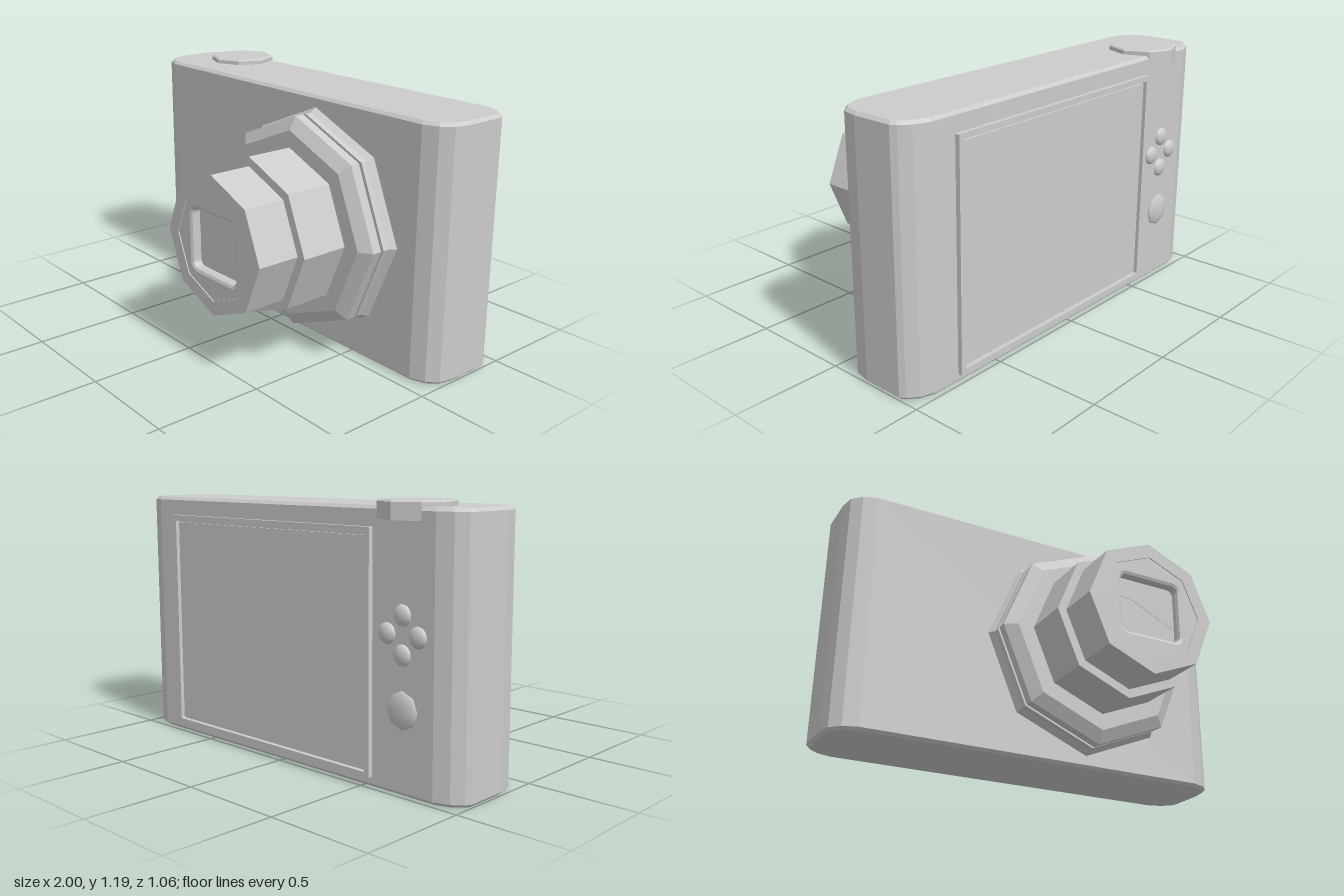
import * as THREE from 'three';

const flat = new THREE.MeshStandardMaterial({ color: 0xcccccc, flatShading: true });
const smooth = new THREE.MeshStandardMaterial({ color: 0xcccccc });

function add(parent, name, geometry, x = 0, y = 0, z = 0, material = flat) {
  const mesh = new THREE.Mesh(geometry, material);
  mesh.name = name;
  mesh.position.set(x, y, z);
  parent.add(mesh);
  return mesh;
}

const points = (list) => list.map(([x, y]) => new THREE.Vector2(x, y));

// Rectangle centred on the origin, with optional rounded corners
function roundedRect(PathType, w, h, r) {
  const path = new PathType();
  const cx = w / 2 - r, cy = h / 2 - r;
  path.moveTo(w / 2, -cy);
  path.absarc(cx, cy, r, 0, Math.PI / 2);
  path.absarc(-cx, cy, r, Math.PI / 2, Math.PI);
  path.absarc(-cx, -cy, r, Math.PI, Math.PI * 1.5);
  path.absarc(cx, -cy, r, Math.PI * 1.5, Math.PI * 2);
  path.closePath();
  return path;
}

// Body: rounded plan outline extruded upward, with chamfered top and bottom
function buildBody(parent) {
  const half = [
    [0.87, -0.06], [0.94, -0.085], [0.985, -0.13], [1, -0.205],
    [1, -0.4], [0.985, -0.425], [0.94, -0.462], [0.87, -0.485],
  ];
  const mirrored = half.map(([x, z]) => [-x, z]).reverse();
  const plan = new THREE.Shape(points([...half, ...mirrored].map(([x, z]) => [x, -z])));
  const b = 0.014;
  const geometry = new THREE.ExtrudeGeometry(plan, {
    depth: 1.165 - 2 * b, bevelThickness: b, bevelSize: b, bevelOffset: -b, bevelSegments: 1,
  });
  geometry.rotateX(-Math.PI / 2);
  add(parent, 'body', geometry, 0, b, 0);
}

// Lens: eight-sided mount ring and two telescoping barrels
function buildLens(parent) {
  const lens = new THREE.Group();
  lens.name = 'lens';
  lens.position.set(0.24, 0.585, 0);
  parent.add(lens);

  const lathe = (profile) => new THREE.LatheGeometry(points(profile), 8).rotateX(Math.PI / 2);
  add(lens, 'mountRing', lathe([
    [0.53, -0.065], [0.505, -0.03], [0.505, 0], [0.487, 0], [0.487, 0.015],
    [0.505, 0.015], [0.505, 0.06], [0.445, 0.095], [0.34, 0.095],
  ]));
  add(lens, 'outerBarrel', lathe([[0.366, 0.09], [0.366, 0.325], [0.3, 0.325]]));
  add(lens, 'innerBarrel', lathe([
    [0.323, 0.32], [0.323, 0.53], [0.255, 0.53], [0.255, 0.48],
  ]));

  // Recessed front plate with a bevelled square window
  const octagon = Array.from({ length: 8 }, (_, i) => {
    const a = (i * Math.PI) / 4;
    return [0.26 * Math.cos(a), 0.26 * Math.sin(a)];
  });
  const plate = new THREE.Shape(points(octagon));
  plate.holes.push(roundedRect(THREE.Path, 0.335, 0.31, 0.045));
  add(lens, 'windowPlate', new THREE.ExtrudeGeometry(plate, {
    depth: 0.02, bevelThickness: 0.02, bevelSize: 0.018, bevelSegments: 2, curveSegments: 4,
  }), 0, 0, 0.485);

  // Two overlapping shutter blades closing the window
  add(lens, 'lowerBlade', new THREE.BoxGeometry(0.34, 0.32, 0.01), 0, 0, 0.475);
  const blade = new THREE.Shape(points([
    [-0.17, 0.04], [-0.11, 0.045], [-0.06, 0.035], [0.11, -0.045], [0.17, -0.07],
    [0.17, 0.16], [-0.17, 0.16],
  ]));
  add(lens, 'upperBlade', new THREE.ExtrudeGeometry(blade, { depth: 0.002, bevelEnabled: false }), 0, 0, 0.48);
}

// Rear screen: raised frame with the display set inside it
function buildScreen(parent) {
  const w = 1.295, h = 1.04, cx = 0.0975, cy = 0.56;
  const frame = roundedRect(THREE.Shape, w, h, 0.005);
  frame.holes.push(roundedRect(THREE.Path, w - 0.05, h - 0.05, 0.005));
  add(parent, 'screenFrame', new THREE.ExtrudeGeometry(frame, {
    depth: 0.027, bevelEnabled: false, curveSegments: 2,
  }), cx, cy, -0.507);
  add(parent, 'screen', new THREE.BoxGeometry(w - 0.07, h - 0.07, 0.02), cx, cy, -0.486);
}

// Rear buttons: four-way pad and one larger button
function buildButtons(parent) {
  const pad = new THREE.Group();
  pad.name = 'directionPad';
  pad.position.set(-0.71, 0.66, -0.483);
  parent.add(pad);
  for (let i = 0; i < 4; i++) {
    const a = (i * Math.PI) / 2;
    const button = add(pad, 'directionButton', new THREE.SphereGeometry(0.045, 16, 10),
      0.08 * Math.cos(a), 0.08 * Math.sin(a), 0, smooth);
    button.scale.z = 0.55;
  }
  const dome = new THREE.SphereGeometry(0.083, 8, 6).rotateX(Math.PI / 2);
  add(parent, 'menuButton', dome, -0.71, 0.355, -0.483, smooth).scale.z = 0.3;
}

// Shutter button: eight-sided disc overhanging the back edge
function buildShutter(parent) {
  const profile = points([[0, 1.112], [0.163, 1.112], [0.163, 1.183], [0.153, 1.19], [0, 1.19]]);
  add(parent, 'shutterButton', new THREE.LatheGeometry(profile, 8), -0.685, 0, -0.37);
}

export function createModel() {
  const camera = new THREE.Group();
  camera.name = 'compactCamera';
  buildBody(camera);
  buildLens(camera);
  buildScreen(camera);
  buildButtons(camera);
  buildShutter(camera);
  return camera;
}
